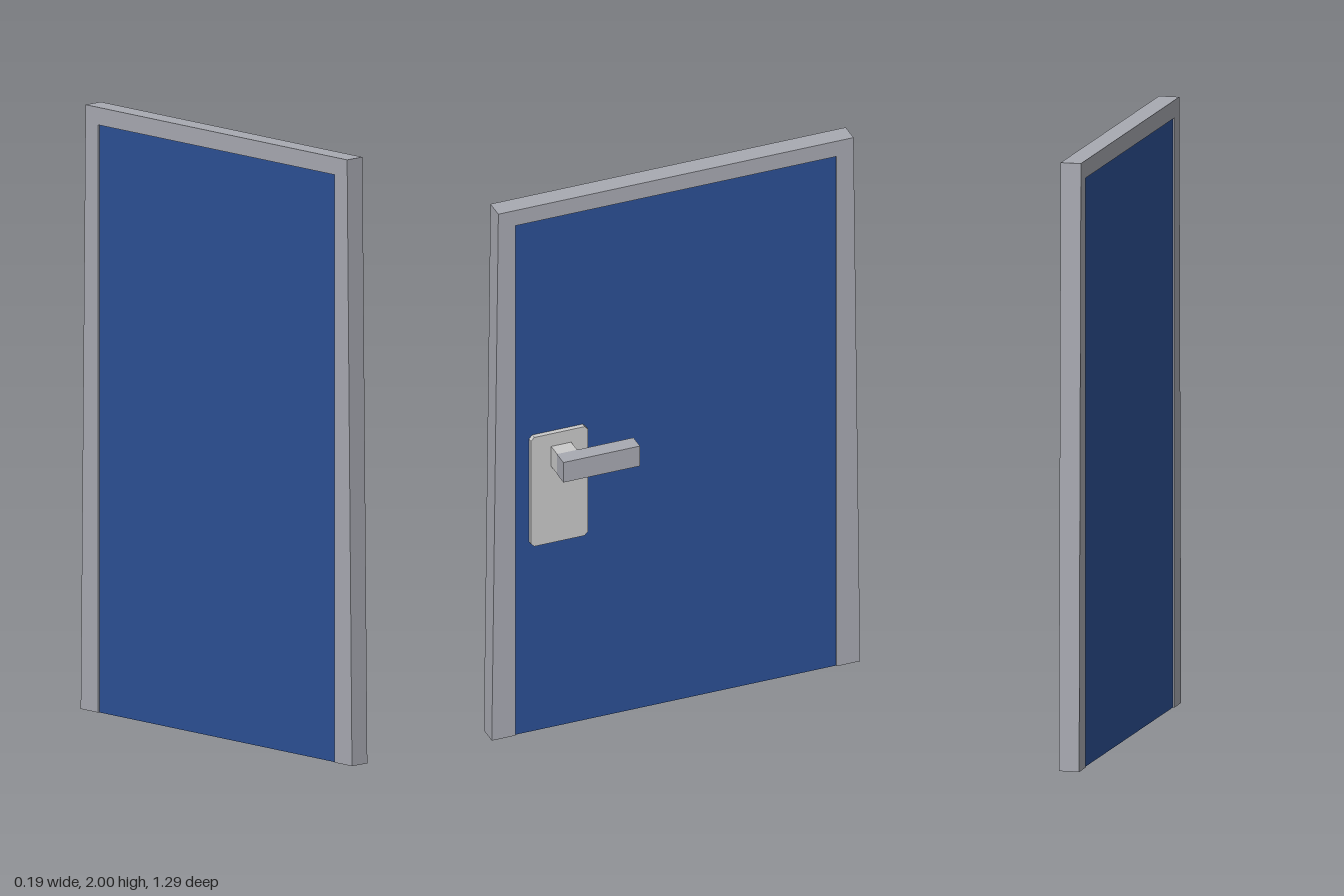
import * as THREE from 'three';

const flat = (name, color) => {
  const m = new THREE.MeshStandardMaterial({ color });
  m.name = name;
  return m;
};

// Extrude an outline of [z, y] points along x, from x0 to x1.
function slab(name, points, x0, x1, material) {
  const shape = new THREE.Shape(points.map(([z, y]) => new THREE.Vector2(-z, y)));
  const geometry = new THREE.ExtrudeGeometry(shape, { depth: x1 - x0, bevelEnabled: false });
  geometry.rotateY(Math.PI / 2).translate(x0, 0, 0);
  const mesh = new THREE.Mesh(geometry, material);
  mesh.name = name;
  return mesh;
}

function block(name, [x0, x1], [y0, y1], [z0, z1], material) {
  const mesh = new THREE.Mesh(new THREE.BoxGeometry(x1 - x0, y1 - y0, z1 - z0), material);
  mesh.position.set((x0 + x1) / 2, (y0 + y1) / 2, (z0 + z1) / 2);
  mesh.name = name;
  return mesh;
}

export function createModel() {
  const grey = flat('frame grey', 0xa8aab2);
  const blue = flat('door blue', 0x2c5095);
  const light = flat('plate light grey', 0xcacaca);

  const door = new THREE.Group();
  door.name = 'door';

  // Frame: open at the bottom, outer sides leaning inwards
  door.add(slab('frame', [
    [0.645, 0], [0.622, 2], [-0.622, 2], [-0.645, 0],
    [-0.562, 0], [-0.562, 1.942], [0.562, 1.942], [0.562, 0],
  ], -0.095, -0.027, grey));

  // Leaf, set slightly back on both sides
  door.add(block('doorPanel', [-0.09, -0.032], [0, 1.942], [-0.562, 0.562], blue));

  // Lock plate with clipped corners
  const [z0, z1, y0, y1, c] = [0.313, 0.513, 0.713, 1.128, 0.012];
  door.add(slab('lockPlate', [
    [z0 + c, y0], [z1 - c, y0], [z1, y0 + c], [z1, y1 - c],
    [z1 - c, y1], [z0 + c, y1], [z0, y1 - c], [z0, y0 + c],
  ], -0.032, -0.015, light));

  // Lever handle: short stem and an L-turned grip
  const handle = new THREE.Group();
  handle.name = 'handle';
  handle.add(block('handleStem', [-0.016, 0.036], [1.004, 1.08], [0.372, 0.442], light));
  handle.add(block('handleGrip', [0.036, 0.092], [1.004, 1.08], [0.175, 0.443], grey));
  door.add(handle);

  return door;
}
